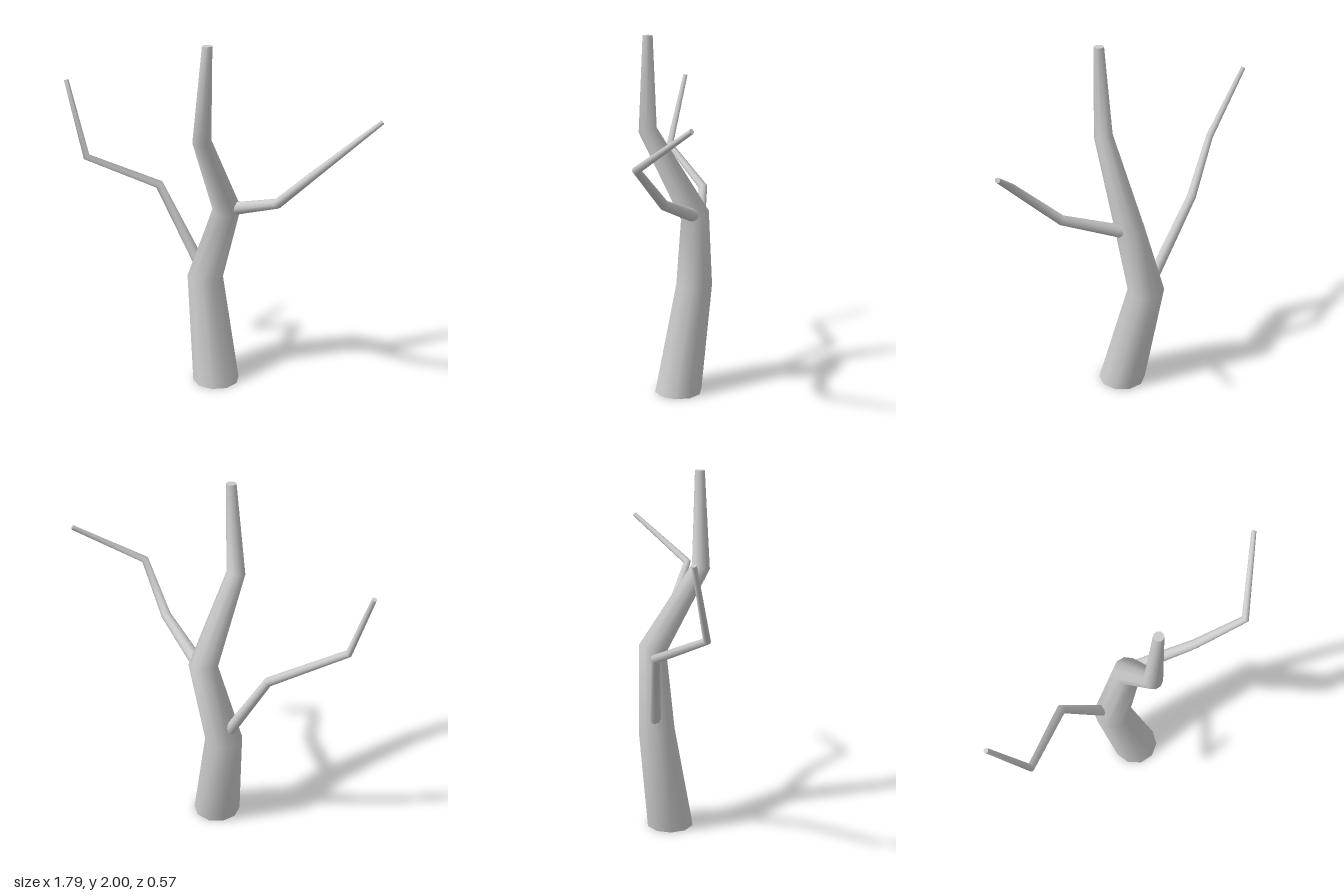
import * as THREE from 'three';

const SIDES = 10;

// Tapered limb through [x, y, z, radius] points, with mitred rings and capped ends
function limb(name, points, material, flatEnds = false) {
  const up = new THREE.Vector3(0, 1, 0);
  const centers = points.map(([x, y, z]) => new THREE.Vector3(x, y, z));
  const last = points.length - 1;
  const positions = [];
  const index = [];

  centers.forEach((center, i) => {
    const before = center.clone().sub(centers[Math.max(i - 1, 0)]).normalize();
    const after = centers[Math.min(i + 1, last)].clone().sub(center).normalize();
    const direction = before.add(after).normalize();
    if (flatEnds && (i === 0 || i === last)) direction.copy(up);
    const turn = new THREE.Quaternion().setFromUnitVectors(up, direction);
    for (let s = 0; s < SIDES; s++) {
      const a = (s / SIDES) * Math.PI * 2;
      const v = new THREE.Vector3(Math.sin(a), 0, Math.cos(a));
      v.multiplyScalar(points[i][3]).applyQuaternion(turn).add(center);
      positions.push(v.x, v.y, v.z);
    }
  });

  // Side walls
  for (let i = 0; i < last; i++) {
    for (let s = 0; s < SIDES; s++) {
      const a = i * SIDES + s;
      const b = i * SIDES + ((s + 1) % SIDES);
      index.push(a, b, b + SIDES, a, b + SIDES, a + SIDES);
    }
  }

  // End caps use their own vertices so the rims stay sharp
  for (const ring of [0, last]) {
    const first = positions.length / 3;
    positions.push(...positions.slice(ring * SIDES * 3, (ring + 1) * SIDES * 3));
    for (let s = 1; s < SIDES - 1; s++) {
      if (ring === 0) index.push(first, first + s + 1, first + s);
      else index.push(first, first + s, first + s + 1);
    }
  }

  const geometry = new THREE.BufferGeometry();
  geometry.setAttribute('position', new THREE.Float32BufferAttribute(positions, 3));
  geometry.setIndex(index);
  geometry.computeVertexNormals();
  const mesh = new THREE.Mesh(geometry, material);
  mesh.name = name;
  return mesh;
}

export function createModel() {
  const tree = new THREE.Group();
  tree.name = 'bareTree';
  const bark = new THREE.MeshStandardMaterial({ color: 0xcccccc });

  // Crooked trunk
  tree.add(limb('trunk', [
    [0, 0, -0.055, 0.133],
    [-0.081, 0.6, -0.16, 0.103],
    [0.046, 1.03, -0.137, 0.08],
    [-0.048, 1.49, 0.107, 0.051],
    [-0.018, 2, 0.11, 0.027],
  ], bark, true));

  // Lower branch on the right
  tree.add(limb('rightBranch', [
    [-0.115, 0.66, -0.18, 0.032],
    [-0.365, 1.1, -0.265, 0.025],
    [-0.75, 1.285, -0.137, 0.02],
    [-0.885, 1.69, -0.257, 0.013],
  ], bark));

  // Upper branch on the left
  tree.add(limb('leftBranch', [
    [0.085, 1.035, -0.125, 0.036],
    [0.355, 1.16, 0.085, 0.027],
    [0.55, 1.385, 0.257, 0.022],
    [0.882, 1.625, 0.045, 0.013],
  ], bark));

  return tree;
}
